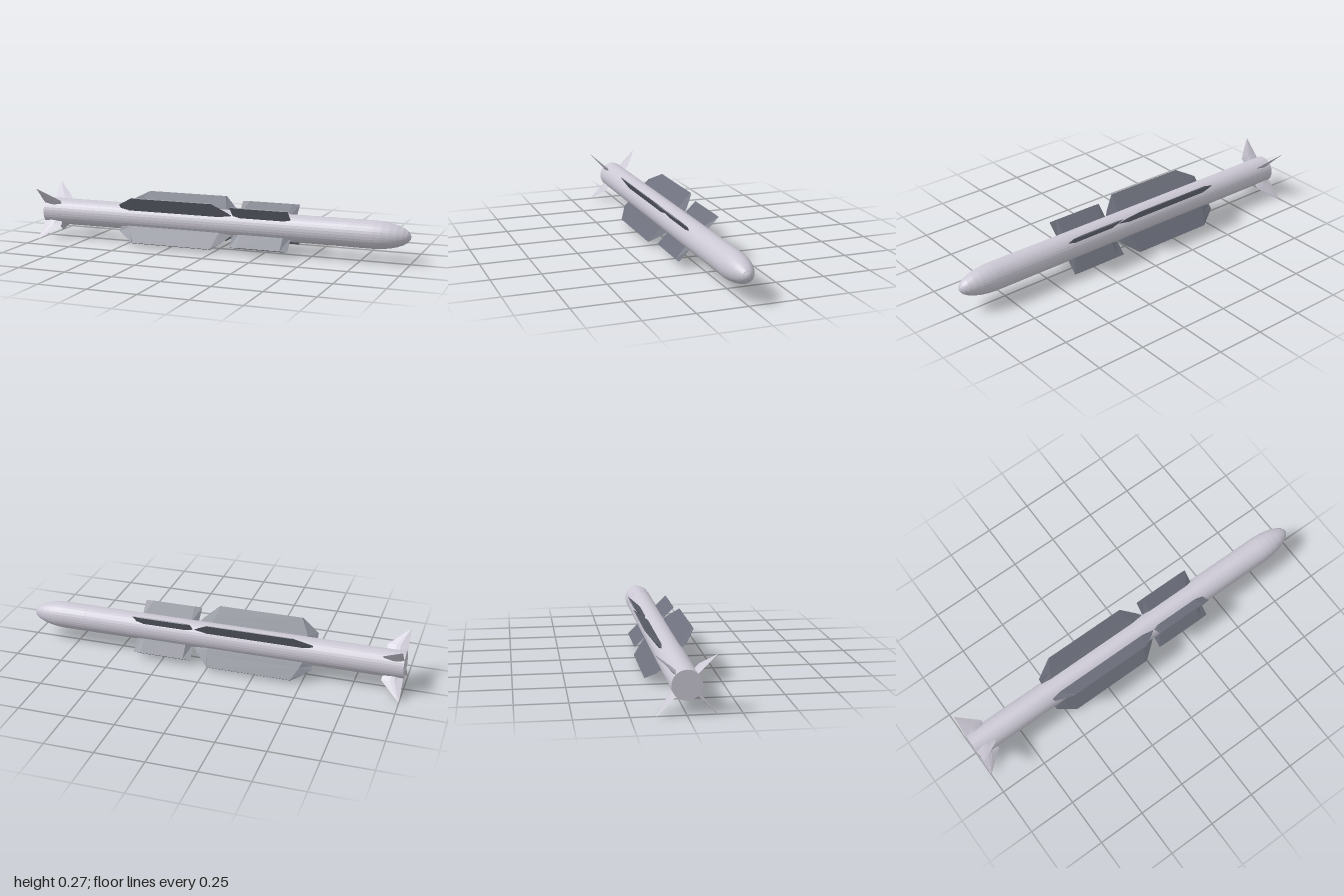
import * as THREE from 'three';

const AXIS_Y = 0.137, R = 0.07, SIDES = 32;

function paint(name, color) {
  const m = new THREE.MeshStandardMaterial({ color, flatShading: true });
  m.name = name;
  return m;
}

// Turned part along x; profile rows are [x, radius] from tail to nose
function turned(name, profile, material) {
  const pts = profile.map(([x, r]) => new THREE.Vector2(r, x));
  const mesh = new THREE.Mesh(new THREE.LatheGeometry(pts, SIDES), material);
  mesh.name = name;
  mesh.rotation.z = -Math.PI / 2;
  return mesh;
}

// Fin lofted outward through six-sided sections with sharp front and rear edges.
// Each rib: [radius, rear x, rear bevel end, front bevel start, front x, half thickness]
function finGeometry(ribs) {
  const pos = [], idx = [];
  for (const [r, x0, x1, x2, x3, t] of ribs) {
    pos.push(x0, r, 0, x1, r, t, x2, r, t, x3, r, 0, x2, r, -t, x1, r, -t);
  }
  for (let k = 0; k < ribs.length - 1; k++) {
    for (let i = 0; i < 6; i++) {
      const a = k * 6 + i, b = k * 6 + (i + 1) % 6;
      idx.push(a, b, b + 6, a, b + 6, a + 6);
    }
  }
  const top = (ribs.length - 1) * 6;
  for (let i = 1; i < 5; i++) idx.push(top, top + i, top + i + 1, 0, i + 1, i);
  const g = new THREE.BufferGeometry();
  g.setAttribute('position', new THREE.Float32BufferAttribute(pos, 3));
  g.setIndex(idx);
  g.computeVertexNormals();
  return g;
}

// Four copies of a fin in an X around the body
function finSet(name, ribs, material) {
  const set = new THREE.Group();
  set.name = name + 's';
  const geometry = finGeometry(ribs);
  for (let k = 0; k < 4; k++) {
    const fin = new THREE.Mesh(geometry, material);
    fin.name = name;
    fin.rotation.x = Math.PI / 4 + k * Math.PI / 2;
    set.add(fin);
  }
  return set;
}

export function createModel() {
  const pale = paint('pale grey', 0xcbc8d4);
  const slate = paint('slate grey', 0x6d707c);
  const model = new THREE.Group();
  model.name = 'missile';

  const airframe = new THREE.Group();
  airframe.name = 'airframe';
  airframe.position.y = AXIS_Y;
  model.add(airframe);

  // Body tube with flat tail, guidance section and rounded nose
  airframe.add(
    turned('bodyTube', [[-1, 0], [-1, R], [0.69, R]], pale),
    turned('guidanceSection', [[0.69, R], [0.69, R + 0.0005], [0.82, R + 0.0005]], pale),
    turned('noseCone', [[0.82, R + 0.0005], [0.86, 0.068], [0.9, 0.062], [0.935, 0.053],
      [0.965, 0.041], [0.985, 0.028], [0.996, 0.014], [1, 0]], pale),
  );

  // Long main wings with swept ends
  airframe.add(finSet('mainWing', [
    [0.05, -0.54, -0.5, 0.02, 0.09, 0.012],
    [0.075, -0.543, -0.49, 0.015, 0.082, 0.0105],
    [0.1, -0.543, -0.48, 0.008, 0.062, 0.008],
    [0.168, -0.45, -0.445, -0.01, -0.005, 0.002],
  ], slate));

  // Rectangular forward fins
  airframe.add(finSet('forwardFin', [
    [0.05, 0.09, 0.13, 0.36, 0.4, 0.01],
    [0.146, 0.09, 0.13, 0.36, 0.4, 0.003],
  ], slate));

  // Pointed tail fins
  airframe.add(finSet('tailFin', [
    [0.05, -1, -0.96, -0.94, -0.9, 0.01],
    [0.095, -1, -0.96, -0.94, -0.895, 0.0065],
    [0.192, -1, -0.999, -0.997, -0.995, 0.0008],
  ], pale));

  return model;
}
